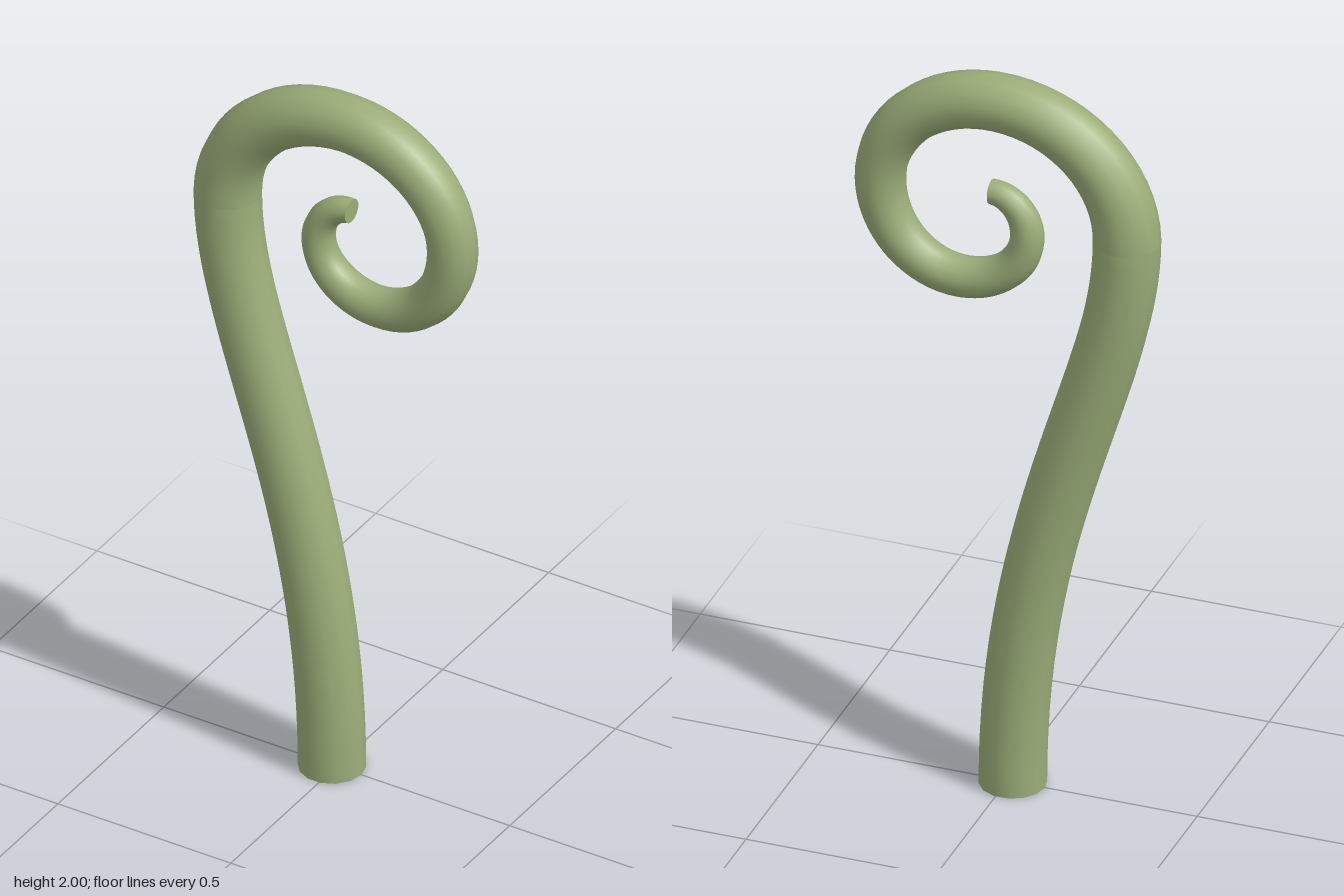
import * as THREE from 'three';

const SIDES = 14;

// Round tube along joined curves in the xy plane; radii gives the thickness at each joint
function taperedTube(curves, radii, stepsPerCurve) {
  const pos = [], idx = [], row = SIDES + 1;
  const steps = curves.length * stepsPerCurve;
  for (let i = 0; i <= steps; i++) {
    const c = Math.min(Math.floor(i / stepsPerCurve), curves.length - 1);
    const u = i / stepsPerCurve - c;
    const p = curves[c].getPoint(u), t = curves[c].getTangent(u);
    const r = THREE.MathUtils.lerp(radii[c], radii[c + 1], u);
    for (let j = 0; j <= SIDES; j++) {
      const a = ((j % SIDES) / SIDES) * Math.PI * 2;
      const n = Math.cos(a) * r;
      pos.push(p.x - t.y * n, p.y + t.x * n, Math.sin(a) * r);
      if (i < steps && j < SIDES) {
        const q = i * row + j;
        idx.push(q, q + 1, q + row, q + 1, q + row + 1, q + row);
      }
    }
  }
  const geo = new THREE.BufferGeometry();
  geo.setAttribute('position', new THREE.Float32BufferAttribute(pos, 3));
  geo.setIndex(idx);
  geo.computeVertexNormals();
  // Match the normals along the lengthwise seam
  const nor = geo.attributes.normal, v = new THREE.Vector3(), w = new THREE.Vector3();
  for (let i = 0; i <= steps; i++) {
    const a = i * row, b = a + SIDES;
    v.fromBufferAttribute(nor, a).add(w.fromBufferAttribute(nor, b)).normalize();
    nor.setXYZ(a, v.x, v.y, v.z);
    nor.setXYZ(b, v.x, v.y, v.z);
  }
  return geo;
}

// Quarter-round bend between two points, turning between vertical and horizontal
function quarterBend(a, b, startsVertical) {
  const k = 0.5523, dx = b.x - a.x, dy = b.y - a.y;
  const c1 = startsVertical ? [a.x, a.y + dy * k] : [a.x + dx * k, a.y];
  const c2 = startsVertical ? [b.x - dx * k, b.y] : [b.x, b.y - dy * k];
  return new THREE.CubicBezierCurve(a, new THREE.Vector2(...c1), new THREE.Vector2(...c2), b);
}

export function createModel() {
  const group = new THREE.Group();
  const green = new THREE.MeshStandardMaterial({ color: 0x9cae79 });
  green.name = 'fern green';
  const add = (name, geo) => {
    const mesh = new THREE.Mesh(geo, green);
    mesh.name = name;
    group.add(mesh);
    return mesh;
  };

  // Stem: gentle S-curve of constant thickness
  const stemPath = new THREE.CubicBezierCurve(
    new THREE.Vector2(-0.014, 0), new THREE.Vector2(-0.014, 0.8),
    new THREE.Vector2(-0.315, 1.2), new THREE.Vector2(-0.315, 1.6));
  add('stem', taperedTube([stemPath], [0.085, 0.085], 32));

  // Curl: inward spiral of quarter bends, thinning towards the tip
  const turns = [[-0.315, 1.6], [0.03, 1.926], [0.335, 1.65], [0.12, 1.412], [-0.052, 1.56], [0.043, 1.668]]
    .map(([x, y]) => new THREE.Vector2(x, y));
  const bends = turns.slice(1).map((p, i) => quarterBend(turns[i], p, i % 2 === 0));
  add('curl', taperedTube(bends, [0.085, 0.0745, 0.064, 0.0535, 0.043, 0.032], 16));

  // Flat cut ends
  const base = add('stemBase', new THREE.CircleGeometry(0.085, SIDES));
  base.rotation.x = Math.PI / 2;
  base.position.set(-0.014, 0, 0);
  const tip = add('curlTip', new THREE.CircleGeometry(0.032, SIDES, Math.PI / 2));
  tip.rotation.y = Math.PI / 2;
  tip.position.set(0.043, 1.668, 0);

  return group;
}
